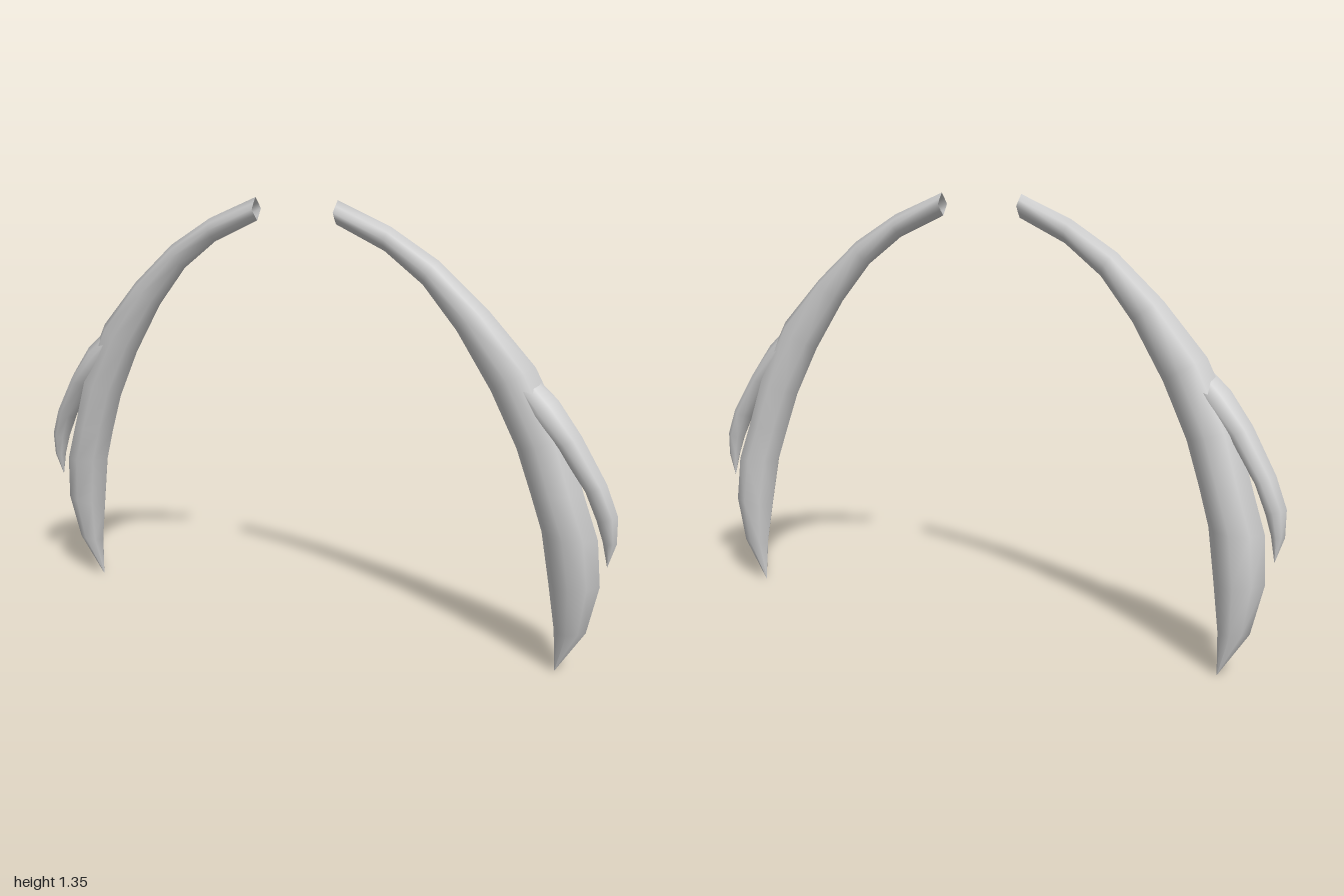
import * as THREE from 'three';

// Cross-sections: outer x, outer y, inner x, inner y, front z, back z
const MAIN = [
  [0.14, 1.35, 0.135, 1.28, 0.073, 0.02],
  [0.31, 1.28, 0.29, 1.21, 0.072, 0.01],
  [0.46, 1.19, 0.41, 1.12, 0.072, 0],
  [0.61, 1.06, 0.515, 0.995, 0.072, -0.013],
  [0.75, 0.91, 0.62, 0.83, 0.072, -0.033],
  [0.85, 0.72, 0.7, 0.67, 0.072, -0.05],
  [0.9, 0.56, 0.745, 0.54, 0.068, -0.06],
  [0.945, 0.43, 0.78, 0.43, 0.06, -0.068],
  [0.955, 0.29, 0.805, 0.27, 0.045, -0.072],
  [0.92, 0.14, 0.825, 0.13, 0.015, -0.057],
  [0.83, 0, 0.83, 0, -0.027, -0.027],
];
const SPUR = [
  [0.7, 0.93, 0.66, 0.87, 0.05, -0.01],
  [0.82, 0.825, 0.74, 0.76, 0.071, -0.028],
  [0.89, 0.73, 0.82, 0.69, 0.068, -0.031],
  [0.965, 0.6, 0.905, 0.57, 0.05, -0.033],
  [1, 0.51, 0.94, 0.49, 0.035, -0.026],
  [1, 0.43, 0.96, 0.43, 0.02, -0.017],
  [0.975, 0.355, 0.975, 0.355, -0.004, -0.004],
];
const SIDES = 8;

// Sweeps softened diamond sections into an open, tapering tube
function strand(name, sections, side, material) {
  const pos = [], index = [];
  sections.forEach(([ox, oy, ix, iy, zf, zb], i) => {
    const soft = Math.min(0.64, 0.52 + i * 0.04);
    for (let j = 0; j < SIDES; j++) {
      const a = (j / SIDES) * Math.PI * 2;
      const r = j % 2 ? soft / Math.SQRT1_2 : 1;
      const u = Math.cos(a) * r / 2, v = Math.sin(a) * r / 2;
      pos.push(side * ((ox + ix) / 2 + (ox - ix) * u),
        (oy + iy) / 2 + (oy - iy) * u,
        (zf + zb) / 2 + (zf - zb) * v);
    }
  });
  for (let i = 0; i < sections.length - 1; i++) {
    for (let j = 0; j < SIDES; j++) {
      const a = i * SIDES + j, b = i * SIDES + (j + 1) % SIDES;
      const c = a + SIDES, d = b + SIDES;
      if (side > 0) index.push(a, b, c, b, d, c);
      else index.push(a, c, b, b, c, d);
    }
  }
  const geo = new THREE.BufferGeometry();
  geo.setAttribute('position', new THREE.Float32BufferAttribute(pos, 3));
  geo.setIndex(index);
  geo.computeVertexNormals();
  const mesh = new THREE.Mesh(geo, material);
  mesh.name = name;
  return mesh;
}

export function createModel() {
  const model = new THREE.Group();
  model.name = 'curvedStrands';
  const material = new THREE.MeshStandardMaterial({ color: 0xcccccc, side: THREE.DoubleSide });
  // Mirrored pair: long strand with a short spur splitting off its outer edge
  for (const side of [1, -1]) {
    const pair = new THREE.Group();
    pair.name = side > 0 ? 'leftLock' : 'rightLock';
    pair.add(strand('mainStrand', MAIN, side, material));
    pair.add(strand('outerSpur', SPUR, side, material));
    model.add(pair);
  }
  return model;
}
